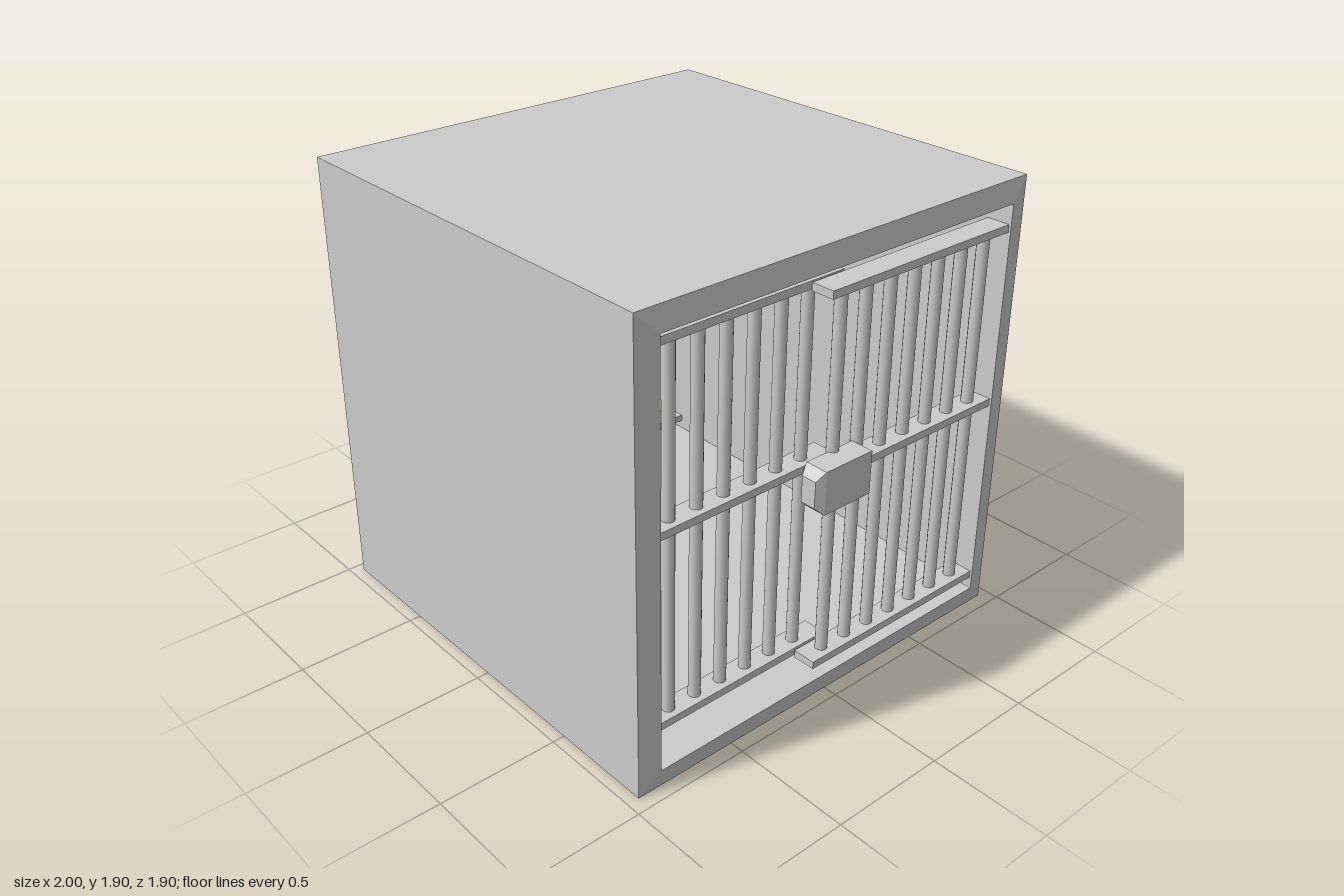
import * as THREE from 'three';

const material = new THREE.MeshStandardMaterial({ color: 0xcccccc });
const flatMaterial = new THREE.MeshStandardMaterial({ color: 0xcccccc, flatShading: true });

function addMesh(parent, name, geometry, mat, x, y, z) {
  const mesh = new THREE.Mesh(geometry, mat);
  mesh.name = name;
  mesh.position.set(x, y, z);
  parent.add(mesh);
  return mesh;
}

// Square tunnel with thick walls and bevelled rims, open towards +x and -x
function shellGeometry() {
  const section = [[-0.96, 0.95], [0.94, 0.95], [0.96, 0.86], [-1, 0.85]];
  const corners = [[-1, -1], [1, -1], [1, 1], [-1, 1]];
  const positions = [];
  const point = (s, c) => {
    const [x, half] = section[s % 4];
    const [y, z] = corners[c % 4];
    return [x, 0.95 + y * half, z * half];
  };
  for (let s = 0; s < 4; s++) {
    for (let c = 0; c < 4; c++) {
      const a = point(s, c), b = point(s + 1, c);
      const d = point(s + 1, c + 1), e = point(s, c + 1);
      positions.push(...a, ...d, ...b, ...a, ...e, ...d);
    }
  }
  const geometry = new THREE.BufferGeometry();
  geometry.setAttribute('position', new THREE.Float32BufferAttribute(positions, 3));
  geometry.computeVertexNormals();
  return geometry;
}

// Barred panel: three flat rails with evenly spaced round bars
function barPanel(name, x, zStart, zEnd, count, firstBar, lastBar) {
  const panel = new THREE.Group();
  panel.name = name;
  const length = Math.abs(zEnd - zStart);
  for (const y of [0.155, 0.975, 1.71]) {
    addMesh(panel, 'rail', new THREE.BoxGeometry(0.1, 0.032, length), material,
      x, y, (zStart + zEnd) / 2);
  }
  const bar = new THREE.CylinderGeometry(0.025, 0.025, 1.555, 12, 1, true);
  for (let i = 0; i < count; i++) {
    const z = THREE.MathUtils.lerp(firstBar, lastBar, i / (count - 1));
    addMesh(panel, 'bar', bar, material, x, 0.9325, z);
  }
  return panel;
}

// Lock box whose +z end narrows on every side
function lockGeometry() {
  const geometry = new THREE.BoxGeometry(0.1, 0.18, 0.275, 1, 1, 2);
  const p = geometry.attributes.position;
  for (let i = 0; i < p.count; i++) {
    const z = p.getZ(i);
    if (z > 0.1) {
      p.setX(i, p.getX(i) * 0.66);
      p.setY(i, p.getY(i) * 0.61);
    } else if (z > -0.1) {
      p.setZ(i, 0.1);
    }
  }
  geometry.computeVertexNormals();
  return geometry;
}

export function createModel() {
  const cage = new THREE.Group();
  cage.name = 'cage';

  addMesh(cage, 'shell', shellGeometry(), flatMaterial, 0, 0, 0);

  // Two overlapping sliding panels on the +x opening
  cage.add(barPanel('innerDoor', 0.79, 0.86, -0.085, 7, 0.81, 0.04));
  cage.add(barPanel('outerDoor', 0.9, 0.085, -0.86, 7, -0.01, -0.78));

  // One full-width panel on the -x opening
  cage.add(barPanel('fixedBars', -0.93, 0.85, -0.85, 14, 0.81, -0.815));

  addMesh(cage, 'lock', lockGeometry(), flatMaterial, 0.95, 0.965, 0.0225);
  return cage;
}
